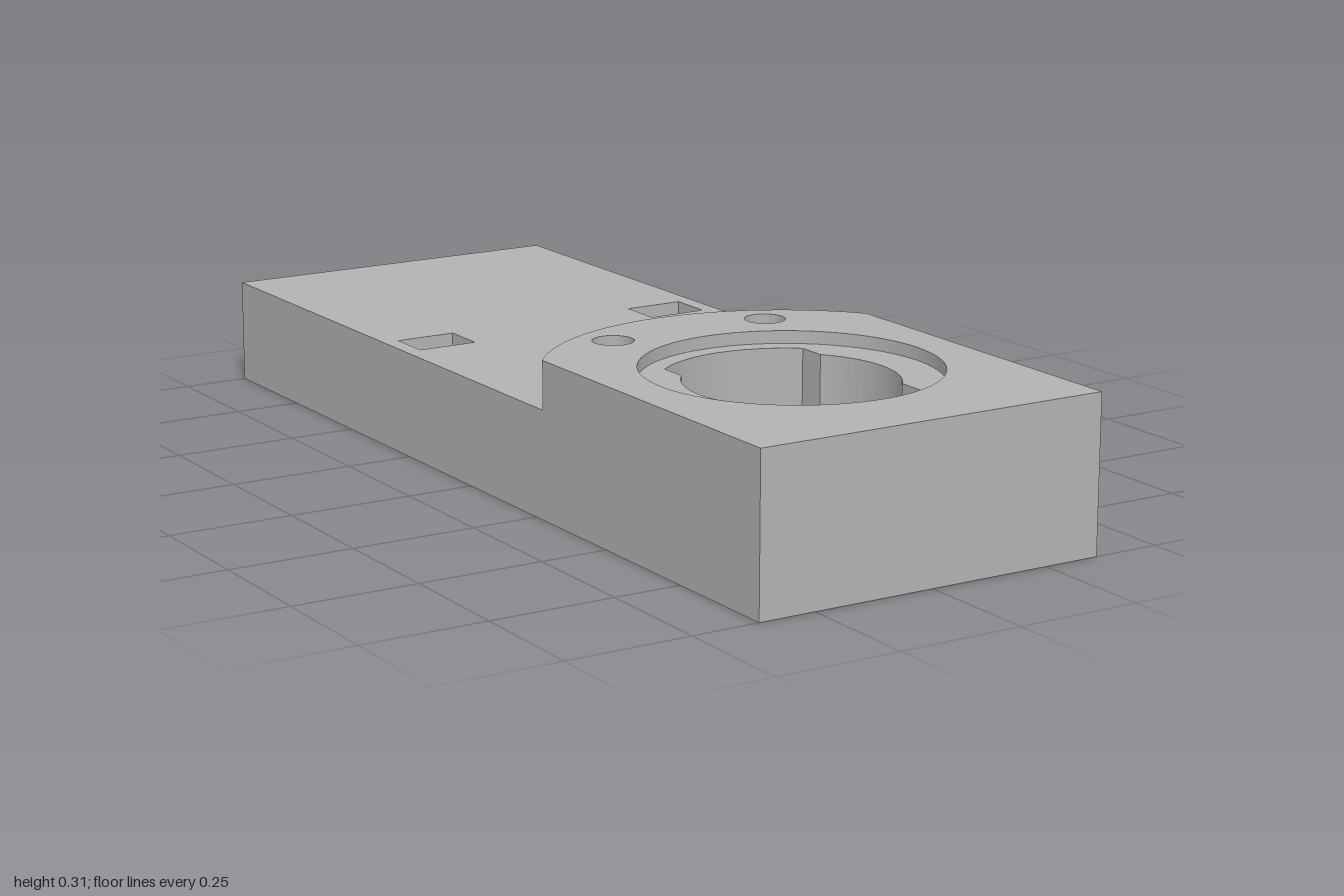
import * as THREE from 'three';
import { toCreasedNormals } from 'three/addons/utils/BufferGeometryUtils.js';

const W = 0.365, L = 1, WALL = 0.063;      // half width, half length, wall thickness
const BORE_Z = 0.555;                      // bore centre

// Plan shapes are drawn in (x, -z) and extruded upwards.
const polygon = (points, Type = THREE.Shape) =>
  new Type(points.map(([x, z]) => new THREE.Vector2(x, -z)));
const rect = (x0, x1, z0, z1, Type) => polygon([[x0, z1], [x1, z1], [x1, z0], [x0, z0]], Type);
const circle = (x, z, r, Type = THREE.Path) => new Type().absarc(x, -z, r, 0, Math.PI * 2, false);

// Round bore with two wider slots, one at the front and one at the back
function slottedBore() {
  const r = 0.203, R = 0.245, half = 0.155, c = -BORE_Z;
  const a = Math.acos(half / r), b = Math.acos(half / R);
  return new THREE.Path()
    .absarc(0, c, r, -a, a, false)
    .absarc(0, c, R, b, Math.PI - b, false)
    .absarc(0, c, r, Math.PI - a, Math.PI + a, false)
    .absarc(0, c, R, Math.PI + b, 2 * Math.PI - b, false);
}

// Front block outline with a rounded rear edge
function headShape() {
  const R = 0.46, a = Math.acos(W / R);
  const s = new THREE.Shape();
  s.moveTo(-W, -L);
  s.lineTo(W, -L);
  s.absarc(0, -BORE_Z, R, a, Math.PI - a, false);
  s.closePath();
  return s;
}

export function createModel() {
  const model = new THREE.Group();
  model.name = 'mountingPlate';
  const grey = new THREE.MeshStandardMaterial({ color: 0xb2b2b2 });
  grey.name = 'grey';

  const layer = (name, shape, y0, y1, holes = []) => {
    shape.holes.push(...holes);
    const geo = new THREE.ExtrudeGeometry(shape, { depth: y1 - y0, bevelEnabled: false, curveSegments: 48 });
    geo.rotateX(-Math.PI / 2).translate(0, y0, 0);
    const mesh = new THREE.Mesh(toCreasedNormals(geo, 0.5), grey);
    mesh.name = name;
    model.add(mesh);
  };
  const slab = () => rect(-W, W, -L, L);

  // Lower rim, open along part of the left wall for the vent slots
  const ix = W - WALL, iz = L - WALL, ventFront = -0.365, pitch = 0.0618, slot = 0.035;
  const ventBack = ventFront - 9 * pitch - slot;
  layer('lowerRim', polygon([
    [W, ventFront], [W, L], [-W, L], [-W, -L], [W, -L], [W, ventBack], [ix, ventBack],
    [ix, -iz], [-ix, -iz], [-ix, iz], [ix, iz], [ix, ventFront],
  ].reverse()), 0, 0.04);
  for (let i = 0; i < 9; i++) {
    const z = ventFront - i * pitch - slot;
    layer('ventTooth', rect(ix, W, z - (pitch - slot), z), 0, 0.04);
  }
  layer('upperRim', slab(), 0.04, 0.077, [rect(-ix, ix, -iz, iz, THREE.Path)]);

  // Collar around the bore, inside the hollow underside
  layer('collar', circle(0, BORE_Z, 0.287, THREE.Shape), 0, 0.077, [circle(0, BORE_Z, 0.224)]);

  // Main plate, with two blind pockets in its top
  const pockets = [-1, 1].map((s) => rect(s * 0.27 - 0.062, s * 0.27 + 0.062, -0.352, -0.26, THREE.Path));
  layer('plateBottom', slab(), 0.077, 0.115, [circle(0, BORE_Z, 0.224)]);
  layer('plateMiddle', slab(), 0.115, 0.17, [slottedBore()]);
  layer('plateTop', slab(), 0.17, 0.212, [slottedBore(), ...pockets]);

  // Raised front block, with blind pin holes and a round recess
  const pinHoles = () => [-1, 1].map((s) => circle(s * 0.172, 0.21, 0.04));
  layer('headBottom', headShape(), 0.212, 0.262, [slottedBore()]);
  layer('headMiddle', headShape(), 0.262, 0.282, [slottedBore(), ...pinHoles()]);
  layer('headTop', headShape(), 0.282, 0.307, [circle(0, BORE_Z, 0.283), ...pinHoles()]);

  return model;
}
